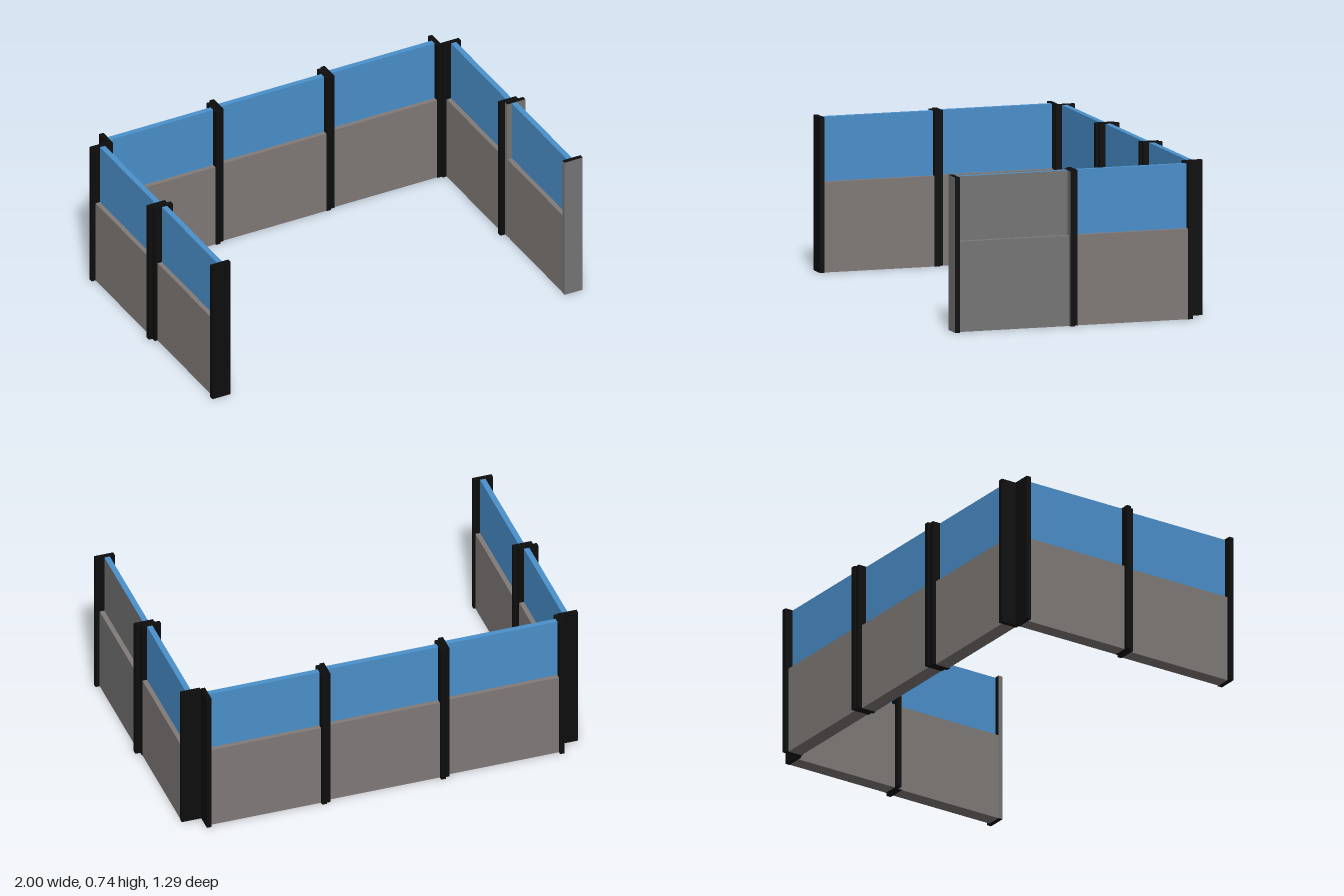
import * as THREE from 'three';

const HEIGHT = 0.738;   // full wall height
const SPLIT = 0.43;     // top of the thick lower panel
const SPAN = 0.595;     // length of one bay, posts included
const POST_T = 0.023, POST_W = 0.096;
const LOWER_T = 0.073, UPPER_T = 0.027;

const paint = (color) => new THREE.MeshStandardMaterial({ color });
const black = paint(0x0d0d0d);
const stone = paint(0x807a78);
const blue = paint(0x4a90cb);
const grey = paint(0x767676);

// One material, with chosen box sides (0 +x, 1 -x, 4 +z) left plain grey
const withGreySides = (material, sides) =>
  sides.length ? [0, 1, 2, 3, 4, 5].map((i) => (sides.includes(i) ? grey : material)) : material;

// One wall bay: two end posts, a thick lower panel and a thin upper panel.
// start: where the bay begins along its wall; centre / postCentre: offsets across the wall
function makeBay({ name, alongX, start, centre, postCentre, plain = false }) {
  const bay = new THREE.Group();
  bay.name = name;

  const slab = (part, from, to, y0, y1, across, thickness, material) => {
    const length = to - from, mid = (from + to) / 2, y = (y0 + y1) / 2;
    const geometry = alongX
      ? new THREE.BoxGeometry(length, y1 - y0, thickness)
      : new THREE.BoxGeometry(thickness, y1 - y0, length);
    const mesh = new THREE.Mesh(geometry, material);
    mesh.name = part;
    mesh.position.set(alongX ? mid : across, y, alongX ? across : mid);
    bay.add(mesh);
  };

  const end = start + SPAN;
  const postMaterial = withGreySides(black, plain ? [1, 4] : []);
  slab('startPost', start, start + POST_T, 0, HEIGHT, postCentre, POST_W, postMaterial);
  slab('endPost', end - POST_T, end, 0, HEIGHT, postCentre, POST_W, postMaterial);

  const panelSides = plain ? [0] : [];
  const a = start + POST_T, b = end - POST_T;
  slab('lowerPanel', a, b, 0, SPLIT, centre, LOWER_T, withGreySides(stone, panelSides));
  slab('upperPanel', a, b, SPLIT, HEIGHT - 0.002, centre, UPPER_T, withGreySides(blue, panelSides));
  return bay;
}

export function createModel() {
  const model = new THREE.Group();
  model.name = 'partitionWalls';

  const bays = [
    // Back wall, stepping slightly backwards bay by bay
    { name: 'backBayRight', alongX: true, start: -0.907, centre: -0.57, postCentre: -0.575 },
    { name: 'backBayMiddle', alongX: true, start: -0.312, centre: -0.58, postCentre: -0.588 },
    { name: 'backBayLeft', alongX: true, start: 0.282, centre: -0.591, postCentre: -0.597 },
    // Right wall
    { name: 'rightRearBay', alongX: false, start: -0.546, centre: -0.942, postCentre: -0.952 },
    { name: 'rightFrontBay', alongX: false, start: 0.049, centre: -0.93, postCentre: -0.933 },
    // Left wall, whose front bay has plain outer sides
    { name: 'leftRearBay', alongX: false, start: -0.563, centre: 0.935, postCentre: 0.926 },
    { name: 'leftFrontBay', alongX: false, start: 0.031, centre: 0.9415, postCentre: 0.951, plain: true },
  ];
  for (const bay of bays) model.add(makeBay(bay));
  return model;
}
